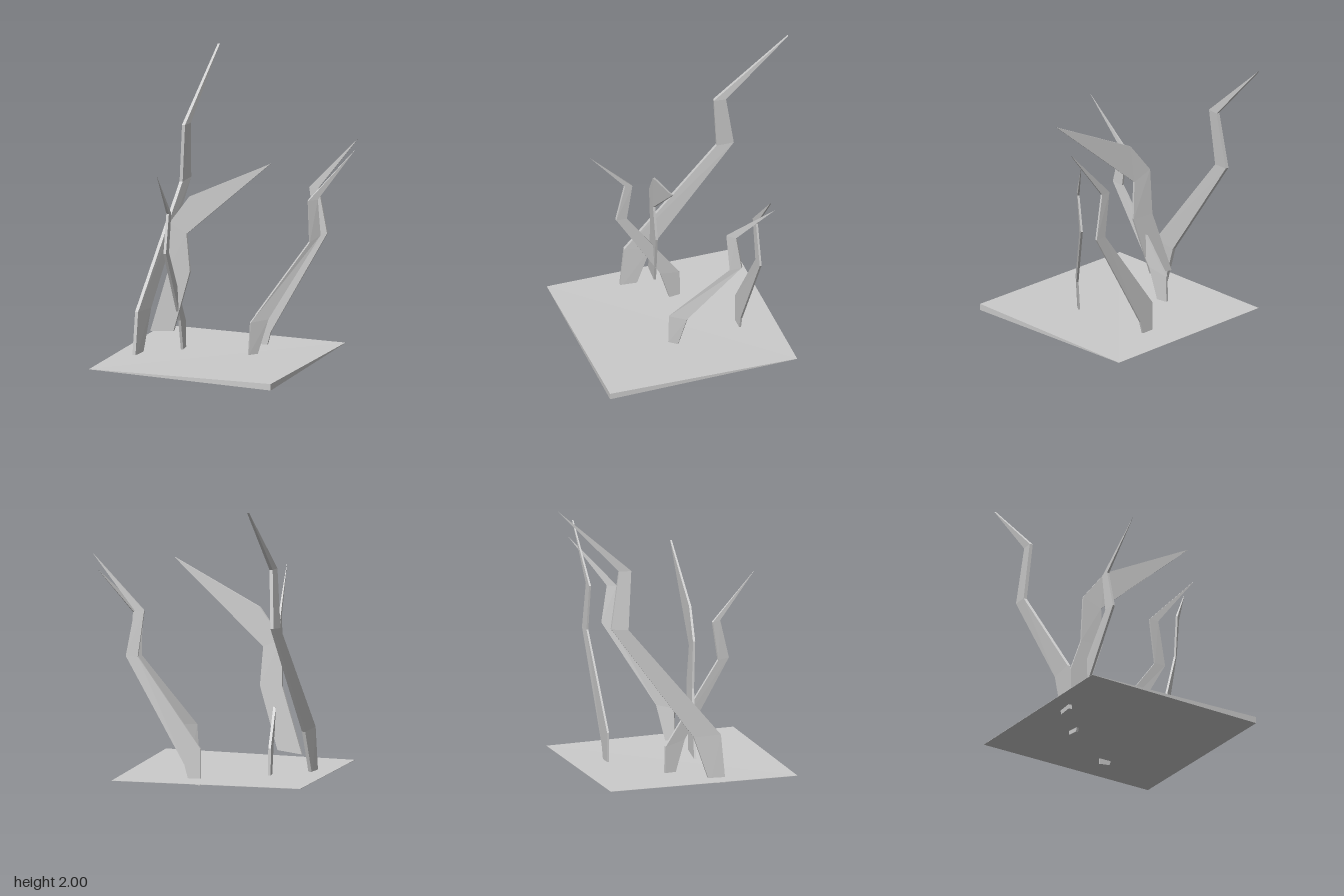
import * as THREE from 'three';

const material = new THREE.MeshStandardMaterial({ color: 0xcccccc, flatShading: true });

// Skin a stack of four-cornered rings (counter-clockwise from above), with end caps.
function loft(name, rings) {
  const pos = [];
  const quad = (a, b, c, d) => [a, b, c, a, c, d].forEach(p => pos.push(...p));
  for (let i = 0; i < rings.length - 1; i++) {
    for (let k = 0; k < 4; k++) {
      const m = (k + 1) % 4;
      quad(rings[i][k], rings[i][m], rings[i + 1][m], rings[i + 1][k]);
    }
  }
  quad(...[...rings[0]].reverse());
  quad(...rings[rings.length - 1]);
  const geometry = new THREE.BufferGeometry();
  geometry.setAttribute('position', new THREE.Float32BufferAttribute(pos, 3));
  geometry.computeVertexNormals();
  const mesh = new THREE.Mesh(geometry, material);
  mesh.name = name;
  return mesh;
}

// Flat crooked blade: rows of [one edge, other edge] points, closing to a tip.
function blade(name, thickness, tipThickness, rows, tip) {
  const [l0, r0] = rows[1];
  const dx = r0[0] - l0[0], dz = r0[2] - l0[2], len = Math.hypot(dx, dz);
  const nx = dz / len, nz = -dx / len;
  const ring = ([l, r], t) => {
    const shift = (p, s) => [p[0] + nx * s * t / 2, p[1], p[2] + nz * s * t / 2];
    return [shift(l, -1), shift(r, -1), shift(r, 1), shift(l, 1)];
  };
  return loft(name, [...rows.map(row => ring(row, thickness)), ring([tip, tip], tipThickness)]);
}

export function createModel() {
  const group = new THREE.Group();

  // Ground plate, thin everywhere except one raised corner
  const corners = [[-0.78, 0.83, 0.001], [0.57, 0.83, 0.023], [0.57, -0.53, 0.001], [-0.78, -0.53, 0.001]];
  group.add(loft('groundPlate', [-1, 1].map(s => corners.map(([x, z, h]) => [x, 0.047 + s * h, z]))));

  // Tall blade leaning to the back
  group.add(blade('tallBlade', 0.024, 0.016, [
    [[-0.645, 0.01, 0.35], [-0.635, 0.01, 0.24]],
    [[-0.635, 0.35, 0.32], [-0.615, 0.34, 0.13]],
    [[-0.57, 1.13, -0.33], [-0.555, 1.14, -0.45]],
    [[-0.54, 1.54, -0.3], [-0.53, 1.54, -0.385]],
  ], [-0.492, 2, -0.825]));

  // Small blade leaning to the front
  group.add(blade('frontBlade', 0.018, 0.002, [
    [[-0.4, 0.01, 0.06], [-0.41, 0.01, -0.01]],
    [[-0.39, 0.27, 0.14], [-0.41, 0.235, -0.005]],
    [[-0.365, 0.82, 0.47], [-0.375, 0.81, 0.39]],
    [[-0.37, 1.09, 0.405], [-0.375, 1.08, 0.35]],
  ], [-0.34, 1.415, 0.67]));

  // Broad blade bending sideways
  group.add(blade('broadBlade', 0.016, 0.012, [
    [[-0.6, 0.18, 0.147], [-0.42, 0.2, 0.167]],
    [[-0.45, 0.64, 0.183], [-0.285, 0.64, 0.2]],
    [[-0.44, 0.97, 0.195], [-0.305, 0.91, 0.212]],
    [[-0.28, 1.18, 0.222], [-0.305, 0.91, 0.212]],
  ], [0.355, 1.49, 0.302]));

  // Back blade leaning to the left
  group.add(blade('backBlade', 0.014, 0.01, [
    [[0.005, 0, -0.277], [0.085, 0.01, -0.277]],
    [[0.005, 0.255, -0.277], [0.12, 0.14, -0.277]],
    [[0.455, 0.88, -0.272], [0.54, 0.88, -0.275]],
    [[0.41, 1.2, -0.268], [0.48, 1.2, -0.268]],
  ], [0.775, 1.58, -0.268]));

  // Diagonal blade leaning to the left and back
  group.add(blade('diagonalBlade', 0.014, 0.004, [
    [[0.175, 0.11, 0.27], [0.22, 0.11, 0.215]],
    [[0.19, 0.34, 0.27], [0.28, 0.35, 0.17]],
    [[0.49, 0.86, -0.07], [0.542, 0.9, -0.138]],
    [[0.49, 1.16, -0.045], [0.537, 1.16, -0.1]],
  ], [0.725, 1.475, -0.315]));

  return group;
}
